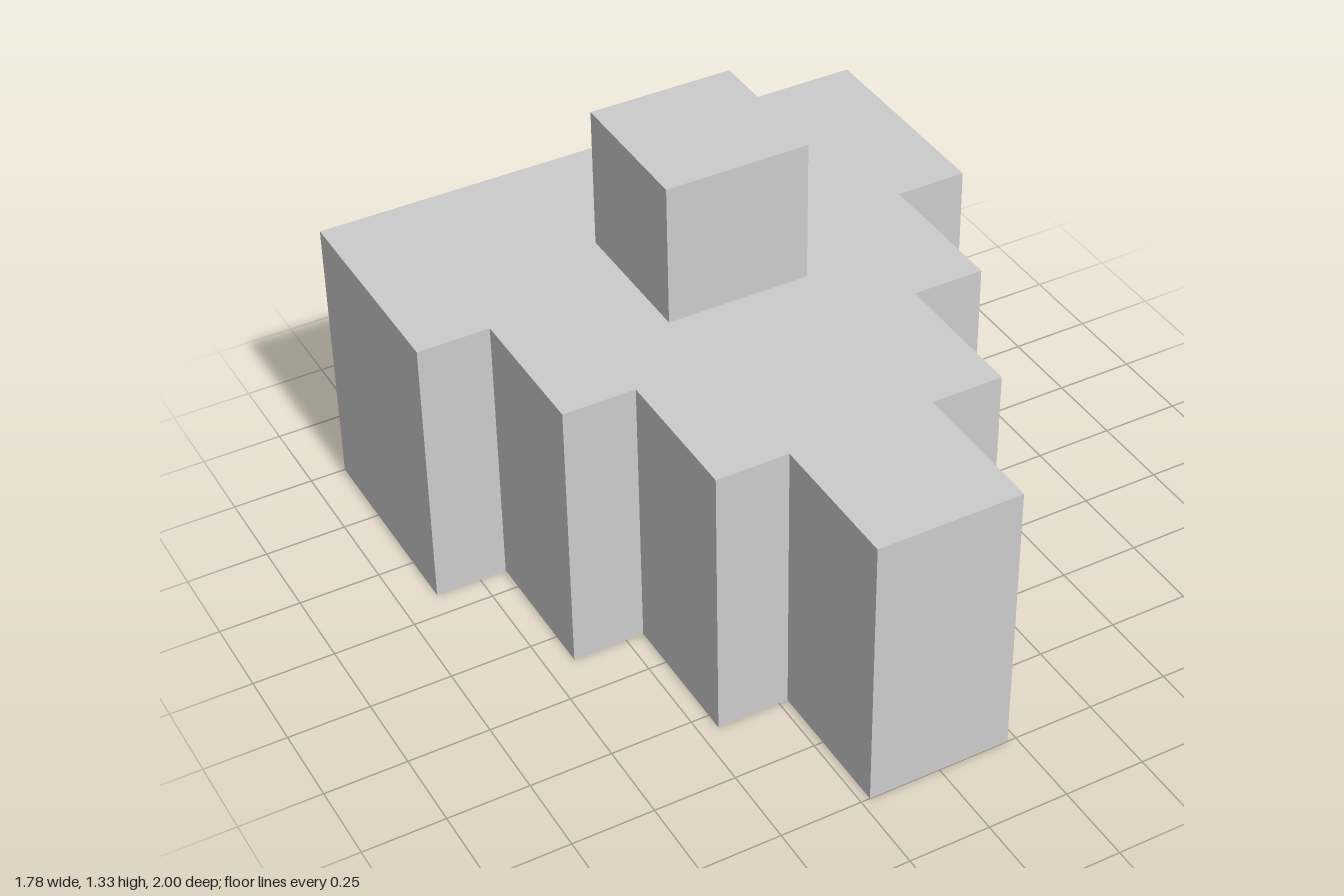
import * as THREE from 'three';

const U = 1 / 9; // modelling unit

export function createModel() {
  const group = new THREE.Group();
  const material = new THREE.MeshStandardMaterial({ color: 0xcccccc, flatShading: true });

  // Stepped base: each tier is [half width, back z, front z]
  const tiers = [[8, -9, -3], [6, -3, 1], [4, 1, 5], [2, 5, 9]];
  const leftSide = tiers.flatMap(([w, back, front]) => [[w, back], [w, front]]);
  const rightSide = leftSide.map(([x, z]) => [-x, z]).reverse();
  const outline = [...leftSide, ...rightSide].map(([x, z]) => new THREE.Vector2(x * U, -z * U));
  const baseGeometry = new THREE.ExtrudeGeometry(new THREE.Shape(outline), {
    depth: 8 * U,
    bevelEnabled: false,
  });
  baseGeometry.rotateX(-Math.PI / 2);
  const base = new THREE.Mesh(baseGeometry, material);
  base.name = 'steppedBase';
  group.add(base);

  // Cube standing on the base
  const cube = new THREE.Mesh(new THREE.BoxGeometry(4 * U, 4 * U, 4 * U), material);
  cube.name = 'topCube';
  cube.position.set(0, 10 * U, -3 * U);
  group.add(cube);

  return group;
}
